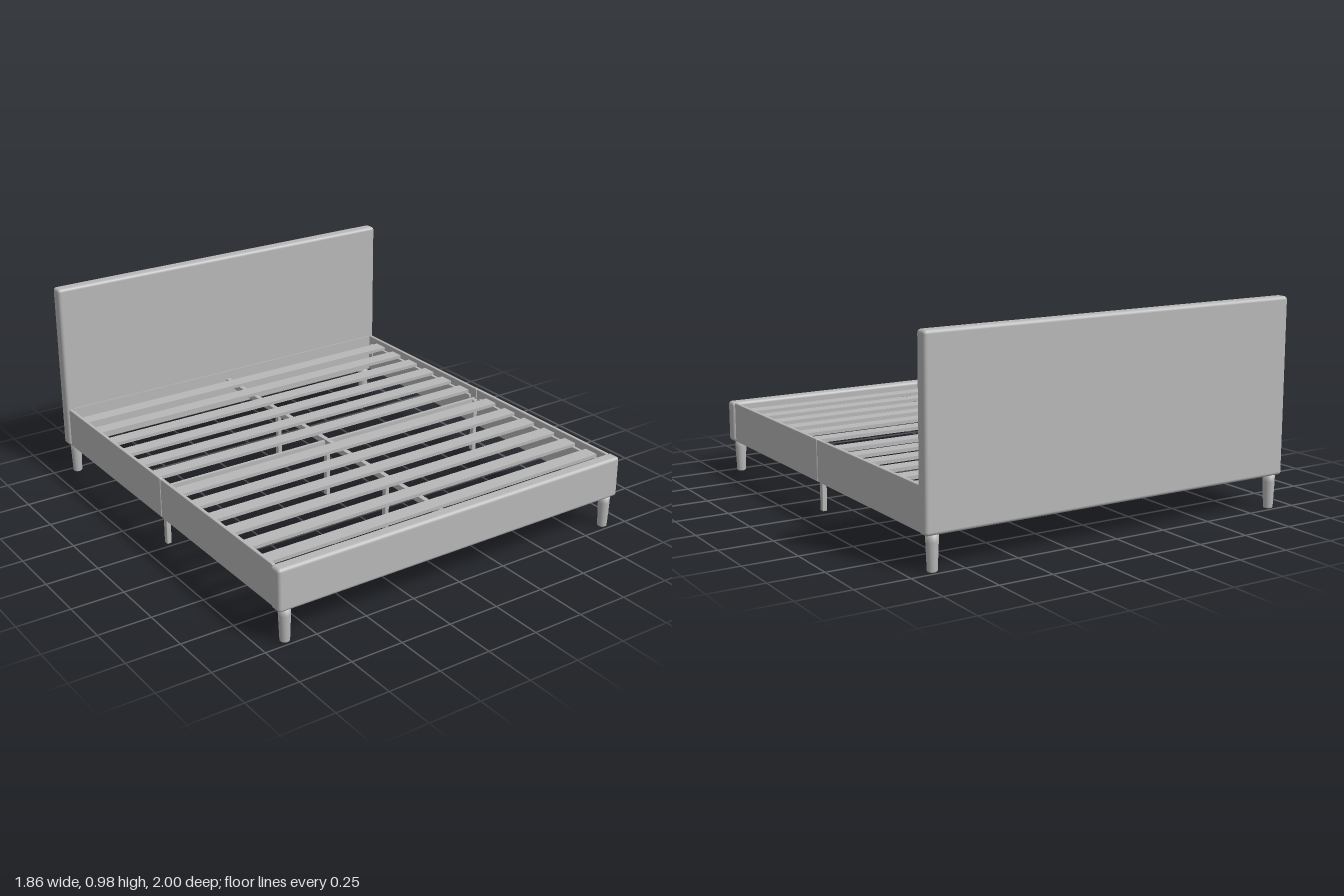
import * as THREE from 'three';
import { RoundedBoxGeometry } from 'three/addons/geometries/RoundedBoxGeometry.js';

export function createModel() {
  const bed = new THREE.Group();
  bed.name = 'bedFrame';
  const grey = new THREE.MeshStandardMaterial({ color: 0xb8b8b8 });
  grey.name = 'grey';

  const add = (name, geometry, x = 0, y = 0, z = 0) => {
    const mesh = new THREE.Mesh(geometry, grey);
    mesh.name = name;
    mesh.position.set(x, y, z);
    bed.add(mesh);
    return mesh;
  };
  // Box given by its limits on each axis; a radius rounds its edges
  const box = (name, [x0, x1], [y0, y1], [z0, z1], radius = 0) => {
    const size = [x1 - x0, y1 - y0, z1 - z0];
    const geometry = radius
      ? new RoundedBoxGeometry(...size, 4, radius)
      : new THREE.BoxGeometry(...size);
    return add(name, geometry, (x0 + x1) / 2, (y0 + y1) / 2, (z0 + z1) / 2);
  };
  // Limits mirrored to the chosen side
  const side = (s, a, b) => (s > 0 ? [a, b] : [-b, -a]);

  // Upholstered end panels
  box('headboard', [-0.932, 0.932], [0.155, 0.975], [-1, -0.935], 0.016);
  box('footboard', [-0.932, 0.932], [0.155, 0.355], [0.935, 1], 0.016);
  box('headRail', [-0.9, 0.9], [0.158, 0.352], [-0.936, -0.93]);

  // Tapered corner legs with softened feet
  const legProfile = [[0, 0], [0.018, 0], [0.022, 0.004], [0.027, 0.125], [0.027, 0.16], [0, 0.16]]
    .map(([r, y]) => new THREE.Vector2(r, y));

  for (const s of [1, -1]) {
    for (const e of [1, -1]) {
      add('cornerLeg', new THREE.LatheGeometry(legProfile, 24), s * 0.885, 0, e * 0.966);
      // Side rail halves meeting at the middle
      box('sideRail', side(s, 0.905, 0.922), [0.157, 0.352], side(e, 0.002, 0.936), 0.004);
      // Slat ledge and corner bracket on the inside of the rail
      box('slatLedge', side(s, 0.89, 0.906), [0.295, 0.312], side(e, 0.04, 0.905));
      box('cornerBracket', side(s, 0.875, 0.906), [0.19, 0.29], side(e, 0.929, 0.936));
      box('cornerBracket', side(s, 0.899, 0.906), [0.19, 0.29], side(e, 0.9, 0.936));
    }
    // Support leg under the rail joint
    box('railSupportLeg', side(s, 0.882, 0.905), [0.02, 0.3], [-0.014, 0.012], 0.003);
  }

  // Centre beam with its feet, and the middle cross bar
  box('centreBeam', [-0.028, -0.005], [0.283, 0.312], [-0.925, 0.935]);
  for (const z of [0.475, -0.002, -0.435]) {
    box('beamSupportLeg', [-0.027, -0.006], [0.02, 0.29], [z - 0.013, z + 0.013], 0.003);
  }
  box('crossBar', [-0.9, 0.9], [0.28, 0.305], [-0.016, 0]);

  // Slats, six on each half
  for (const start of [-0.825, 0.114]) {
    for (let i = 0; i < 6; i++) {
      const z = start + i * 0.1455;
      box('slat', [-0.9, 0.912], [0.313, 0.329], [z - 0.036, z + 0.036]);
    }
  }
  return bed;
}
